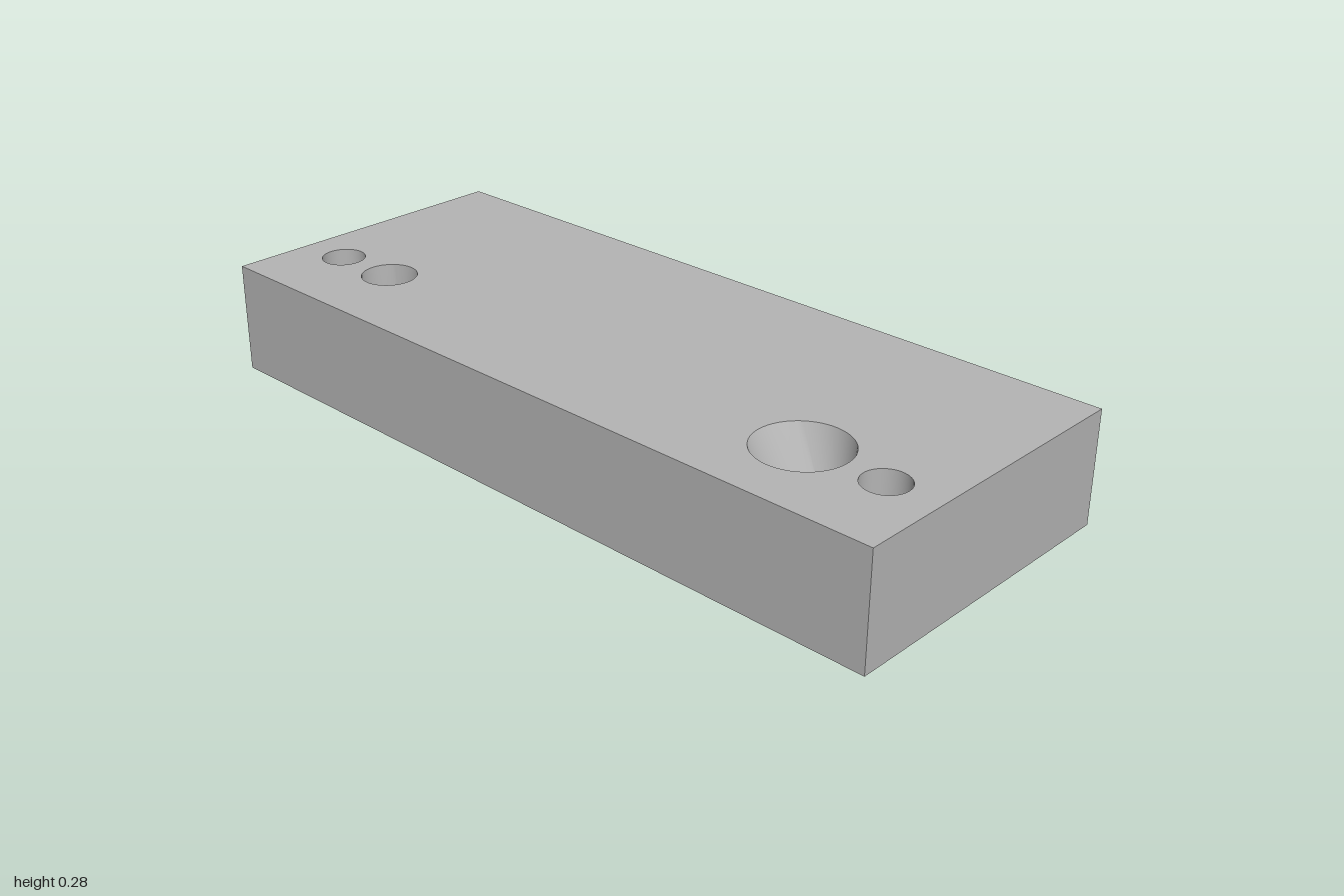
import * as THREE from 'three';

const W = 0.4, L = 1, H = 0.284;      // half width, half length, height
const PZ = 0.77, PX = -0.315;         // pocket half length and closed side
const FLOOR = 0.058;                  // height of the slotted pocket floor
const BOLTS = [[-0.18, -0.865], [-0.18, 0.865]], BOLT_R = 0.055;
const FUNNELS = [
  { x: -0.175, z: -0.685, r: 0.07, slot: [-0.235, -0.118, -0.73, -0.693] },
  { x: -0.175, z: 0.65, r: 0.113, slot: [-0.235, -0.118, 0.69, 0.726] },
];
// Pocket cross-section (x, y) from the open side to the closed side
const PROFILE = [[W, 0.005], [0.36, 0.071], [-0.045, 0.069], [-0.045, FLOOR],
  [-0.25, FLOOR], [PX, 0.04], [PX, 0]];

const polygon = (pts, Type = THREE.Shape) => new Type(pts.map(p => new THREE.Vector2(...p)));
const rect = (x0, x1, z0, z1, Type) => polygon([[x0, z0], [x1, z0], [x1, z1], [x0, z1]], Type);
const circle = (x, z, r) => new THREE.Path().absarc(x, z, r, 0, Math.PI * 2, true);

// Horizontal plate from a shape drawn in x and z (z mirrored when facing up)
function plate(shape, y, up) {
  return new THREE.ShapeGeometry(shape, 32).rotateX(up ? -Math.PI / 2 : Math.PI / 2).translate(0, y, 0);
}

// Surface ruled between two rows of points
function ruled(a, b, closed = false) {
  const n = a.length, index = [];
  for (let i = 0; i < (closed ? n : n - 1); i++) {
    const j = (i + 1) % n;
    index.push(i, j, n + i, j, n + j, n + i);
  }
  const g = new THREE.BufferGeometry();
  g.setAttribute('position', new THREE.Float32BufferAttribute([...a, ...b].flat(), 3));
  g.setIndex(index);
  g.computeVertexNormals();
  return g;
}

export function createModel() {
  const model = new THREE.Group();
  const grey = new THREE.MeshStandardMaterial({ color: 0xb4b4b4, side: THREE.DoubleSide });
  grey.name = 'plain grey';
  const add = (name, geometry) => {
    const mesh = new THREE.Mesh(geometry, grey);
    mesh.name = name;
    model.add(mesh);
  };

  // Top face with bolt holes and funnel mouths
  const top = rect(-W, W, -L, L);
  for (const [x, z] of BOLTS) top.holes.push(circle(x, -z, BOLT_R));
  for (const f of FUNNELS) top.holes.push(circle(f.x, -f.z, f.r));
  add('topFace', plate(top, H, true));

  // Underside rim around the pocket, open on one long side
  const rim = polygon([[-W, -L], [W, -L], [W, -PZ], [PX, -PZ], [PX, PZ], [W, PZ], [W, L], [-W, L]]);
  for (const [x, z] of BOLTS) rim.holes.push(circle(x, z, BOLT_R));
  add('undersideRim', plate(rim, 0, false));

  // Outer walls
  for (const s of [1, -1]) {
    const end = new THREE.PlaneGeometry(2 * W, H);
    if (s < 0) end.rotateY(Math.PI);
    add(s > 0 ? 'frontWall' : 'backWall', end.translate(0, H / 2, s * L));
  }
  add('rightWall', new THREE.PlaneGeometry(2 * L, H).rotateY(-Math.PI / 2).translate(-W, H / 2, 0));
  const y0 = PROFILE[0][1];
  const notched = polygon([[-L, 0], [-PZ, 0], [-PZ, y0], [PZ, y0], [PZ, 0], [L, 0], [L, H], [-L, H]]);
  add('leftWall', new THREE.ShapeGeometry(notched).rotateY(Math.PI / 2).translate(W, 0, 0));

  // Pocket surfaces: one strip for each profile segment
  for (let i = 0; i < PROFILE.length - 1; i++) {
    const a = PROFILE[i], b = PROFILE[i + 1];
    if (a[1] === FLOOR && b[1] === FLOOR) {
      const floor = rect(b[0], a[0], -PZ, PZ);
      for (const f of FUNNELS) floor.holes.push(rect(...f.slot, THREE.Path));
      add('slottedFloor', plate(floor, FLOOR, false));
    } else {
      add('pocketSurface', ruled([[...a, PZ], [...a, -PZ]], [[...b, PZ], [...b, -PZ]]));
    }
  }
  for (const s of [1, -1]) {
    const end = new THREE.ShapeGeometry(polygon([[W, 0], ...PROFILE]));
    if (s > 0) end.scale(1, 1, -1);
    end.computeVertexNormals();
    if (s > 0) {
      // Reverse the faces so this end looks into the pocket
      end.scale(1, 1, -1);
      end.index.array.reverse();
      end.computeVertexNormals();
    }
    add('pocketEnd', end.translate(0, 0, s * PZ));
  }

  // Bolt hole bores
  for (const [x, z] of BOLTS) {
    const bore = new THREE.CylinderGeometry(BOLT_R, BOLT_R, H, 64, 1, true);
    bore.index.array.reverse();
    bore.computeVertexNormals();
    add('boltBore', bore.translate(x, H / 2, z));
  }

  // Funnels: round mouth blending into a rectangular slot
  for (const { x, z, r, slot: [x0, x1, z0, z1] } of FUNNELS) {
    const mouth = [], outlet = [];
    for (let i = 0; i < 64; i++) {
      const t = i / 64 * Math.PI * 2, c = Math.cos(t), s = Math.sin(t);
      const m = Math.max(Math.abs(c), Math.abs(s));
      mouth.push([x + r * c, H, z + r * s]);
      outlet.push([(x0 + x1) / 2 + c / m * (x1 - x0) / 2, FLOOR, (z0 + z1) / 2 + s / m * (z1 - z0) / 2]);
    }
    add('funnel', ruled(mouth, outlet, true));
  }
  return model;
}
